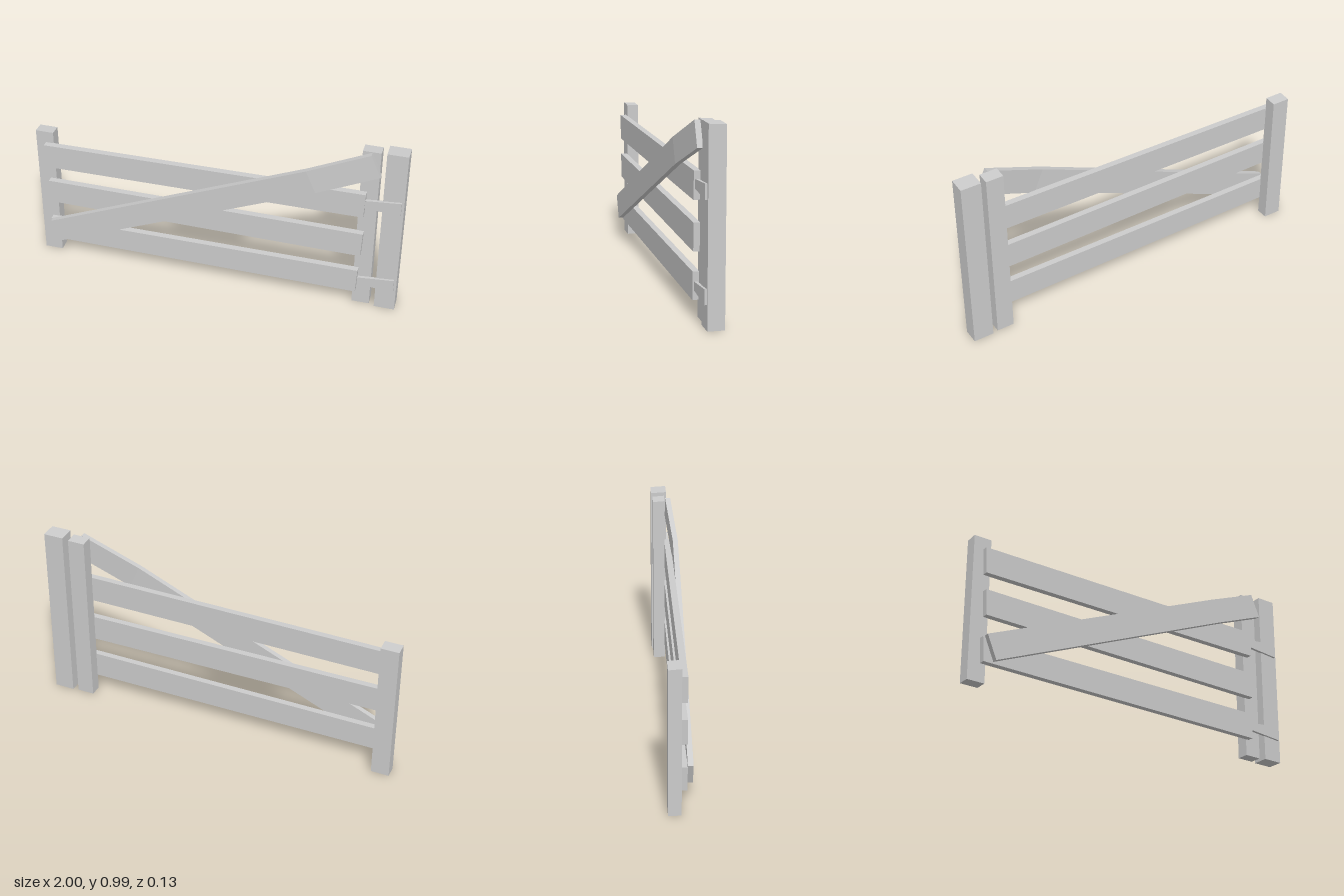
import * as THREE from 'three';

const material = new THREE.MeshStandardMaterial({ color: 0xcccccc, flatShading: true });

// Plank with a front outline in x/y, extruded from z0 to z1
function plank(name, points, z0, z1) {
  const shape = new THREE.Shape(points.map(([x, y]) => new THREE.Vector2(x, y)));
  const geometry = new THREE.ExtrudeGeometry(shape, { depth: z1 - z0, bevelEnabled: false });
  geometry.translate(0, 0, z0);
  const mesh = new THREE.Mesh(geometry, material);
  mesh.name = name;
  return mesh;
}

// Upright post whose top falls slightly from front to back
function post(name, x0, x1, height, z0, z1) {
  const geometry = new THREE.BoxGeometry(x1 - x0, height, z1 - z0);
  geometry.translate((x0 + x1) / 2, height / 2, (z0 + z1) / 2);
  const p = geometry.attributes.position;
  for (let i = 0; i < p.count; i++) {
    if (p.getY(i) > 0.1 && p.getZ(i) < (z0 + z1) / 2) p.setY(i, height - 0.005);
  }
  const mesh = new THREE.Mesh(geometry, material);
  mesh.name = name;
  return mesh;
}

// Diagonal board, bent back near its upper end to meet the post
function brace() {
  const length = 1.9, bend = 0.815, thickness = 0.028;
  const geometry = new THREE.BoxGeometry(length, 0.137, thickness, 2, 1, 1);
  const p = geometry.attributes.position;
  for (let i = 0; i < p.count; i++) {
    const x = p.getX(i);
    if (Math.abs(x) < 0.01) p.setX(i, (bend - 0.5) * length);
    else if (x > 0) p.setZ(i, p.getZ(i) > 0 ? -0.013 : -0.042);
  }
  geometry.rotateZ(Math.atan2(0.748, 1.748));
  geometry.translate(-0.031, 0.546, 0.053);
  geometry.computeVertexNormals();
  const mesh = new THREE.Mesh(geometry, material);
  mesh.name = 'diagonalBrace';
  return mesh;
}

export function createModel() {
  const gate = new THREE.Group();
  gate.name = 'gate';

  // Posts
  gate.add(
    post('latchPost', -1, -0.902, 0.787, -0.06, 0.006),
    post('hingeStile', 0.765, 0.86, 0.982, -0.06, 0.006),
    post('gatePost', 0.89, 1, 0.993, -0.067, 0.02)
  );

  // Horizontal rails, slightly uneven: [name, left x, right x, left y range, right y range]
  const rails = [
    ['lowerRail', -0.94, 0.79, 0.1, 0.232, 0.092, 0.236],
    ['middleRail', -0.936, 0.803, 0.35, 0.488, 0.338, 0.482],
    ['upperRail', -0.947, 0.803, 0.58, 0.72, 0.592, 0.736],
  ];
  for (const [name, xl, xr, bl, tl, br, tr] of rails) {
    gate.add(plank(name, [[xl + 0.008, bl], [xr - 0.006, br], [xr, tr], [xl, tl]], 0.004, 0.038));
  }

  gate.add(brace());

  // Tapered hinge straps
  [['lowerHinge', 0.165], ['upperHinge', 0.672]].forEach(([name, y]) => {
    gate.add(plank(name,
      [[0.79, y - 0.022], [0.987, y - 0.038], [0.987, y + 0.04], [0.79, y + 0.022]], 0.016, 0.032));
  });

  return gate;
}
